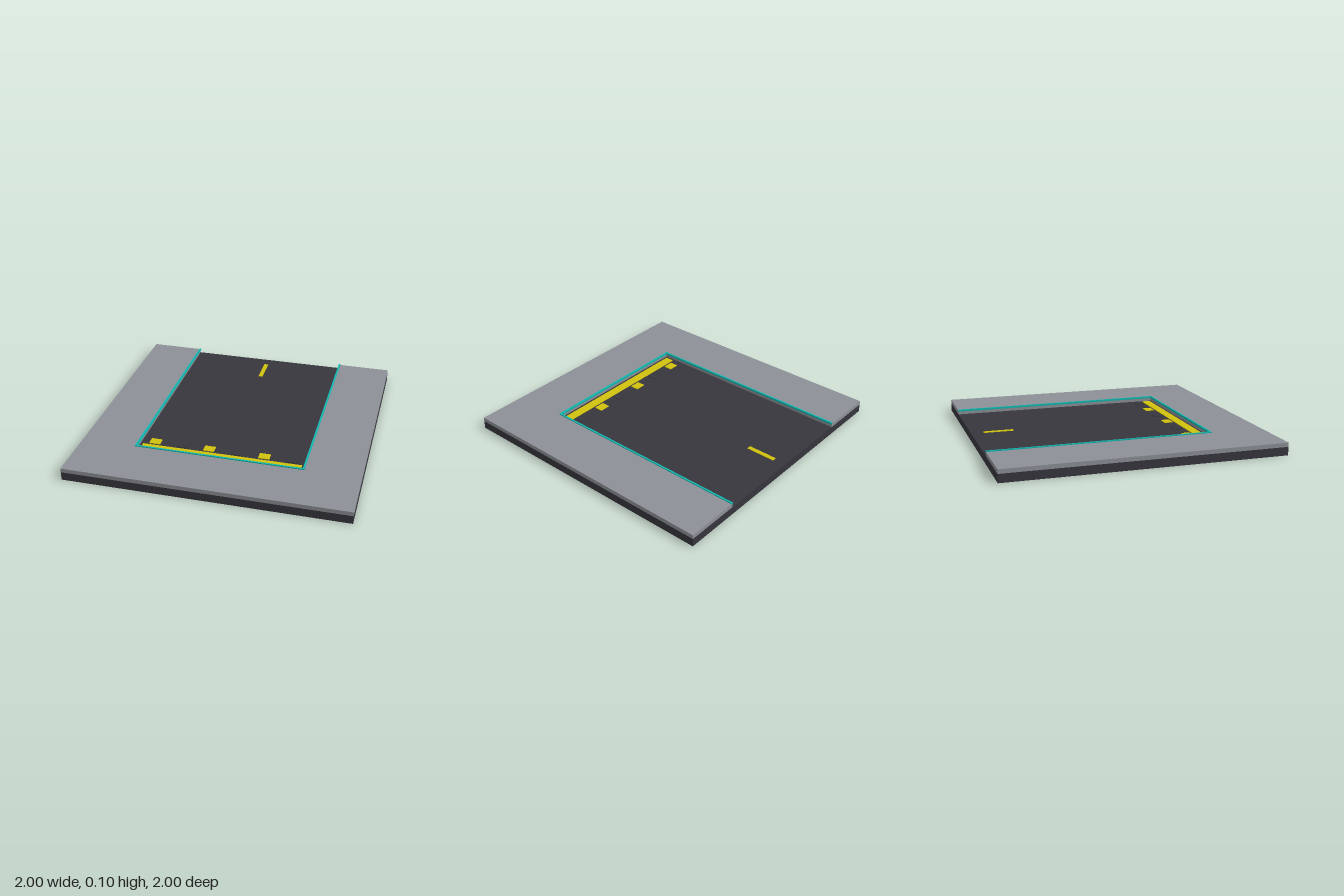
import * as THREE from 'three';

const mat = (name, color) => {
  const m = new THREE.MeshStandardMaterial({ color });
  m.name = name;
  return m;
};

export function createModel() {
  const asphalt = mat('asphalt', 0x37363d);
  const concrete = mat('concrete', 0x8c8f96);
  const teal = mat('tealTrim', 0x10b8b0);
  const yellow = mat('yellowPaint', 0xd0c20c);
  const model = new THREE.Group();
  model.name = 'roadEndTile';

  // Box given by its bounds on each axis
  const box = (name, material, x0, x1, y0, y1, z0, z1) => {
    const mesh = new THREE.Mesh(new THREE.BoxGeometry(x1 - x0, y1 - y0, z1 - z0), material);
    mesh.position.set((x0 + x1) / 2, (y0 + y1) / 2, (z0 + z1) / 2);
    mesh.name = name;
    model.add(mesh);
  };

  const roadY = 0.06, walkY = 0.09, half = 0.6;

  // Road slab
  box('roadBase', asphalt, -1, 1, 0, roadY, -1, 1);

  // U-shaped pavement, open at the back
  const u = new THREE.Shape([
    [-1, -1], [1, -1], [1, 1], [half, 1], [half, -half], [-half, -half], [-half, 1], [-1, 1],
  ].map(([x, y]) => new THREE.Vector2(x, y)));
  const walkGeo = new THREE.ExtrudeGeometry(u, { depth: walkY - roadY, bevelEnabled: false });
  walkGeo.rotateX(-Math.PI / 2);
  const pavement = new THREE.Mesh(walkGeo, concrete);
  pavement.position.y = roadY;
  pavement.name = 'pavement';
  model.add(pavement);

  // Raised trim along the kerb
  const inner = 0.595, outer = 0.608, trimLow = 0.083, trimTop = 0.097;
  box('leftTrim', teal, inner, outer, trimLow, trimTop, -1, outer);
  box('rightTrim', teal, -outer, -inner, trimLow, trimTop, -1, outer);
  box('frontTrim', teal, -inner, inner, trimLow, trimTop, inner, outer);

  // Road markings
  box('stopLine', yellow, -0.58, 0.578, roadY, 0.064, 0.515, 0.582);
  box('centreDash', yellow, -0.016, 0.016, roadY, 0.064, -0.91, -0.69);

  // Alternating yellow and dark blocks behind the stop line
  for (let i = 0; i < 6; i++) {
    const x = -0.5 + i * 0.2;
    box('markerBlock', i % 2 ? asphalt : yellow, x - 0.04, x + 0.04, roadY, 0.065, 0.436, 0.5);
  }
  return model;
}
